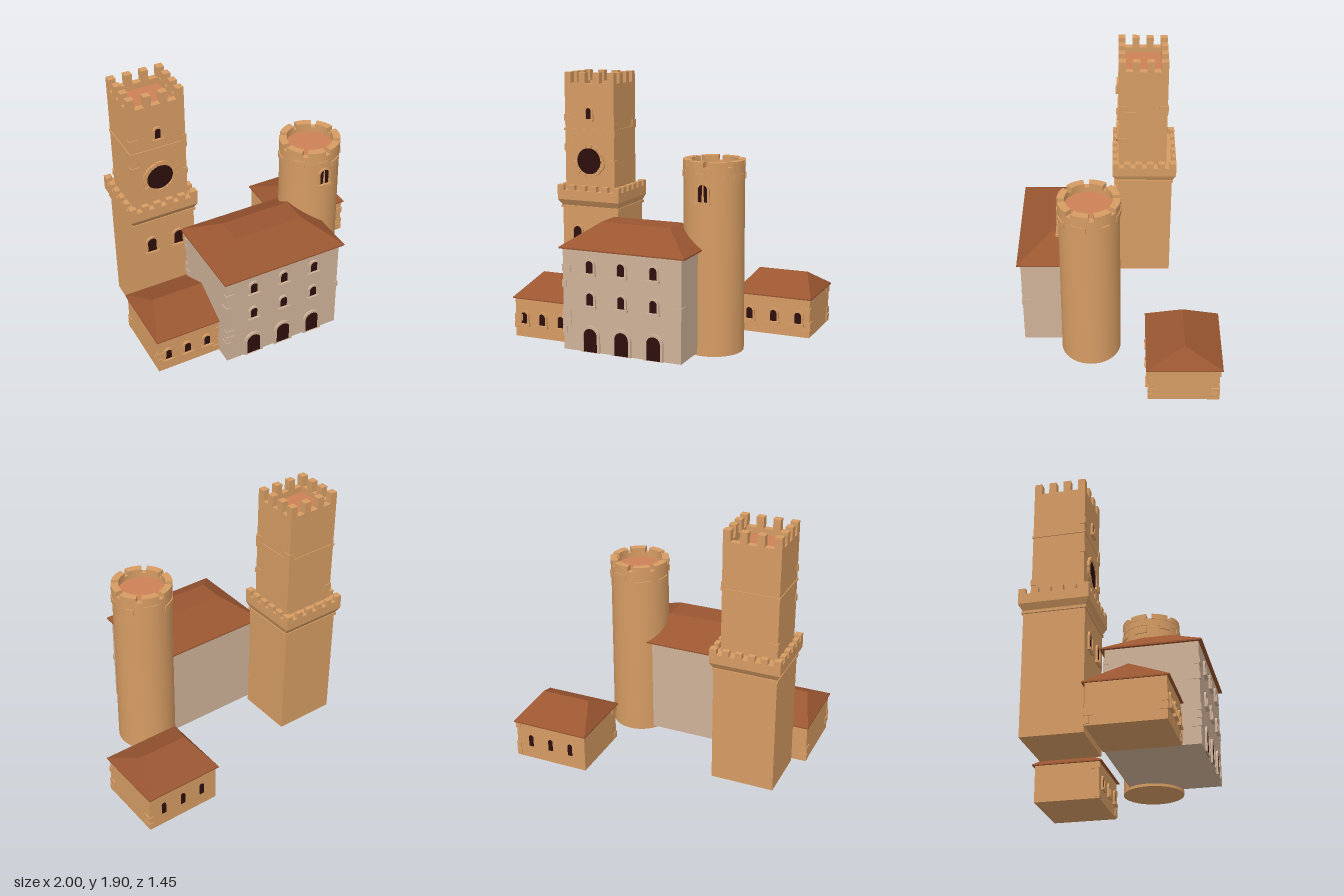
import * as THREE from 'three';

const mat = (name, color) => Object.assign(new THREE.MeshStandardMaterial({ color }), { name });

export function createModel() {
  const root = new THREE.Group();
  root.name = 'castle';
  const sand = mat('sandstone', 0xd69c63), plaster = mat('plaster', 0xcfb298), roofTile = mat('roof tile', 0x9a5631);
  const clay = mat('clay floor', 0xcc8055), dark = mat('dark opening', 0x2c0f0d);

  let seed = 7;
  const rnd = () => (seed = (seed * 16807) % 2147483647) / 2147483647;

  const group = (name, parent = root) => {
    const g = new THREE.Group();
    g.name = name;
    parent.add(g);
    return g;
  };
  const add = (parent, name, geo, material) => {
    const m = new THREE.Mesh(geo, material);
    m.name = name;
    parent.add(m);
    return m;
  };
  // box given by its limits
  const block = (parent, name, material, x0, x1, y0, y1, z0, z1) => {
    const m = add(parent, name, new THREE.BoxGeometry(x1 - x0, y1 - y0, z1 - z0), material);
    m.position.set((x0 + x1) / 2, (y0 + y1) / 2, (z0 + z1) / 2);
    return m;
  };

  // frustum with rectangular bottom and top: hipped roofs and corbels; rect = [x0, x1, z0, z1]
  const frustum = (parent, name, material, base, y0, top, y1) => {
    const ring = ([x0, x1, z0, z1], y) => [[x0, y, z1], [x1, y, z1], [x1, y, z0], [x0, y, z0]];
    const b = ring(base, y0), t = ring(top, y1), pos = [];
    const quad = (p, q, r, s) => pos.push(...p, ...q, ...r, ...p, ...r, ...s);
    for (let i = 0; i < 4; i++) {
      const j = (i + 1) % 4;
      quad(b[i], b[j], t[j], t[i]);
    }
    quad(...t);
    quad(b[3], b[2], b[1], b[0]);
    const g = new THREE.BufferGeometry();
    g.setAttribute('position', new THREE.Float32BufferAttribute(pos, 3));
    g.computeVertexNormals();
    return add(parent, name, g, material);
  };

  // round-headed outline, base centred on the origin
  const arch = (w, h, Kind = THREE.Shape) => {
    const s = new Kind(), r = w / 2;
    s.moveTo(-r, 0);
    s.lineTo(r, 0);
    s.lineTo(r, h - r);
    s.absarc(0, h - r, r, 0, Math.PI, false);
    s.closePath();
    return s;
  };
  const extrude = (shape, depth) => new THREE.ExtrudeGeometry(shape, { depth, bevelEnabled: false, curveSegments: 8 });

  // opening with a stone surround; y is the sill height
  const opening = (parent, name, material, x, y, z, w, h, { frame = 0.014, sill = true } = {}) => {
    const g = group(name, parent);
    g.position.set(x, y, z);
    add(g, 'opening', extrude(arch(w, h), 0.005), dark);
    if (frame) {
      const s = arch(w + frame * 2, h + frame);
      s.holes.push(arch(w, h, THREE.Path));
      add(g, 'surround', extrude(s, 0.014), material);
    }
    if (sill) block(g, 'sill', material, -w / 2 - 0.02, w / 2 + 0.02, -0.018, 0, 0, 0.022);
    return g;
  };

  // scattered proud corner stones
  const quoins = (parent, material, [x0, x1, z0, z1], y0, y1, chance) => {
    for (const [cx, sx] of [[x0, 1], [x1, -1]]) for (const [cz, sz] of [[z0, 1], [z1, -1]])
      for (let y = y0; y + 0.05 <= y1; y += 0.055) {
        if (rnd() > chance) continue;
        const long = rnd() > 0.5, e = 0.006, a = long ? 0.06 : 0.03, b = long ? 0.03 : 0.06;
        const xs = [cx - sx * e, cx + sx * a].sort((p, q) => p - q);
        const zs = [cz - sz * e, cz + sz * b].sort((p, q) => p - q);
        block(parent, 'cornerStone', material, ...xs, y, y + 0.048, ...zs);
      }
  };

  // merlons around a rectangle, nx on front and back, nz on the sides
  const merlons = (parent, [x0, x1, z0, z1], y0, y1, t, w, nx, nz) => {
    for (let i = 0; i < nx; i++) {
      const x = x0 + (x1 - x0 - w) * i / (nx - 1);
      block(parent, 'merlon', sand, x, x + w, y0, y1, z1 - t, z1);
      block(parent, 'merlon', sand, x, x + w, y0, y1, z0, z0 + t);
    }
    for (let i = 0; i < nz; i++) {
      const z = z0 + (z1 - z0 - w) * i / (nz - 1);
      block(parent, 'merlon', sand, x0, x0 + t, y0, y1, z, z + w);
      block(parent, 'merlon', sand, x1 - t, x1, y0, y1, z, z + w);
    }
  };

  // Square tower
  const tower = group('squareTower');
  const low = [-0.89, -0.43, -0.4, 0.02], ring = [-0.92, -0.41, -0.43, 0.05], up = [-0.87, -0.465, -0.355, 0.005];
  block(tower, 'lowerShaft', sand, low[0], low[1], 0.02, 0.9, low[2], low[3]);
  block(tower, 'stringCourse', sand, -0.9, -0.42, 0.885, 0.905, -0.41, 0.03);
  frustum(tower, 'corbel', sand, low, 0.9, ring, 0.95);
  block(tower, 'gallery', sand, ring[0], ring[1], 0.95, 1.02, ring[2], ring[3]);
  merlons(tower, ring, 1.02, 1.06, 0.035, 0.05, 6, 6);
  block(tower, 'upperShaft', sand, up[0], up[1], 1.02, 1.77, up[2], up[3]);
  block(tower, 'upperStringCourse', sand, -0.876, -0.459, 1.47, 1.485, -0.361, 0.011);
  block(tower, 'towerFloor', clay, up[0] + 0.03, up[1] - 0.03, 1.77, 1.776, up[2] + 0.03, up[3] - 0.03);
  for (const z of [up[2], up[3] - 0.045]) block(tower, 'parapet', sand, up[0], up[1], 1.77, 1.82, z, z + 0.045);
  for (const x of [up[0], up[1] - 0.045]) block(tower, 'parapet', sand, x, x + 0.045, 1.77, 1.82, up[2], up[3]);
  merlons(tower, up, 1.82, 1.9, 0.05, 0.052, 4, 4);
  quoins(tower, sand, up, 1.1, 1.76, 0.2);
  for (const x of [-0.765, -0.56]) opening(tower, 'towerWindow', sand, x, 0.635, low[3], 0.068, 0.115);
  opening(tower, 'topWindow', sand, -0.67, 1.56, up[3], 0.045, 0.08);

  // Round window with a ring of stones
  const rose = group('roundWindow', tower);
  rose.position.set(-0.67, 1.245, up[3]);
  add(rose, 'opening', new THREE.CylinderGeometry(0.1, 0.1, 0.008, 28).rotateX(Math.PI / 2), dark);
  for (let i = 0; i < 14; i++) {
    const a0 = i * Math.PI / 7, s = new THREE.Shape(), r = 0.118 + rnd() * 0.015;
    s.absarc(0, 0, r, a0, a0 + 0.42, false);
    s.absarc(0, 0, 0.098, a0 + 0.42, a0, true);
    add(rose, 'surroundStone', extrude(s, 0.012 + rnd() * 0.008), sand);
  }

  // Round tower
  const round = group('roundTower');
  round.position.set(0.404, 0, 0.203);
  const cyl = add(round, 'shaft', new THREE.CylinderGeometry(0.212, 0.217, 1.27, 40), sand);
  cyl.position.y = 0.635;
  // curved stone lying flat between two radii
  const arc = (name, a0, a1, r0, r1, y, h) => {
    const s = new THREE.Shape();
    s.absarc(0, 0, r1, a0, a1, false);
    s.absarc(0, 0, r0, a1, a0, true);
    const m = add(round, name, extrude(s, h).rotateX(-Math.PI / 2), sand);
    m.position.y = y;
  };
  add(round, 'floor', new THREE.CylinderGeometry(0.18, 0.18, 0.01, 32), clay).position.y = 1.275;
  for (let i = 0; i < 8; i++) {
    const a = i * Math.PI / 4 + 0.2;
    arc('parapet', a, a + Math.PI / 4, 0.175, 0.215, 1.26, 0.055);
    arc('merlon', a, a + 0.6, 0.165, 0.217, 1.31, 0.042);
    arc('cornerStone', a + rnd() * 0.3, a + 0.5 + rnd() * 0.2, 0.2, 0.221, 1.19 + rnd() * 0.05, 0.045);
  }
  opening(round, 'window', sand, 0, 1.08, 0.207, 0.07, 0.12);

  // Great hall
  const hall = group('greatHall');
  const hw = [-0.52, 0.37, 0.06, 0.7];
  block(hall, 'walls', plaster, hw[0], hw[1], 0.02, 0.75, hw[2], hw[3]);
  const eave = [-0.54, 0.4, 0.03, 0.725];
  block(hall, 'eave', roofTile, eave[0], eave[1], 0.742, 0.752, eave[2], eave[3]);
  frustum(hall, 'roof', roofTile, eave, 0.752, [-0.33, 0.19, 0.28, 0.48], 0.9);
  quoins(hall, plaster, hw, 0.03, 0.74, 0.3);
  for (const x of [-0.31, -0.072, 0.168]) {
    opening(hall, 'door', plaster, x, 0.02, hw[3], 0.105, 0.17, { frame: 0.02, sill: false });
    for (const y of [0.355, 0.583]) opening(hall, 'window', plaster, x, y, hw[3], 0.056, 0.088);
  }

  // Low houses: [name, wall rect, eave rect, ridge rect, window positions]
  const houses = [
    ['leftHouse', [-0.99, -0.51, 0.05, 0.57], [-1, -0.51, 0.03, 0.588], [-0.9, -0.51, 0.31, 0.31], [-0.915, -0.767, -0.615]],
    ['rightHouse', [0.43, 0.985, -0.705, -0.21], [0.416, 0.997, -0.725, -0.19], [0.52, 0.89, -0.457, -0.457], [0.53, 0.715, 0.9]],
  ];
  for (const [name, w, e, ridge, xs] of houses) {
    const h = group(name);
    block(h, 'walls', sand, w[0], w[1], 0.02, 0.31, w[2], w[3]);
    block(h, 'eave', roofTile, e[0], e[1], 0.304, 0.313, e[2], e[3]);
    frustum(h, 'roof', roofTile, e, 0.313, ridge, 0.45);
    quoins(h, sand, w, 0.03, 0.3, 0.45);
    for (const x of xs) opening(h, 'window', sand, x, 0.12, w[3], 0.05, 0.085);
    // narrow slits in the rear wall of the free-standing house
    if (name === 'rightHouse') for (const x of [0.55, 0.71, 0.87])
      opening(h, 'rearSlit', sand, x, 0.12, w[2], 0.034, 0.09, { frame: 0, sill: false }).rotation.y = Math.PI;
  }
  return root;
}
